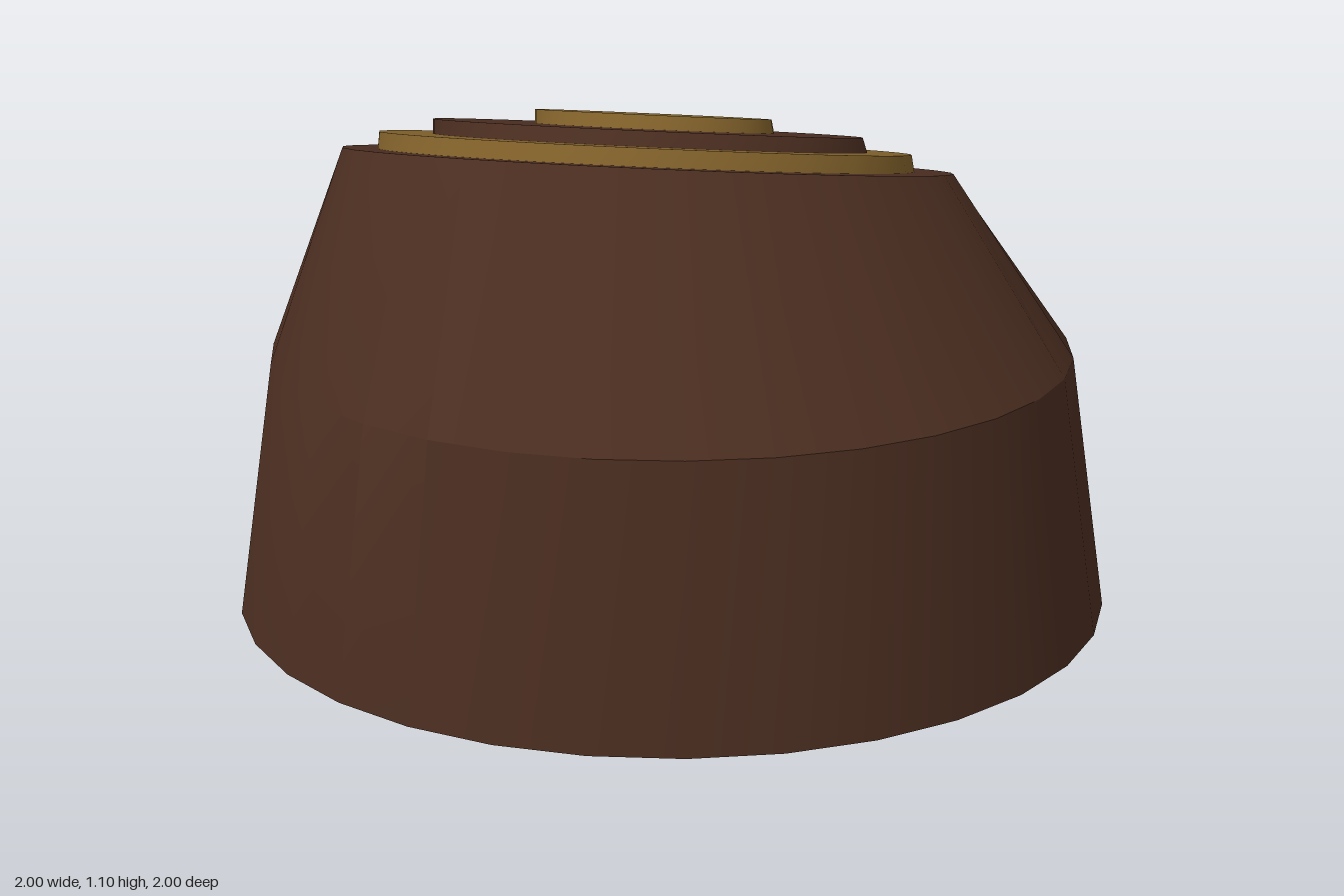
import * as THREE from 'three';
import { toCreasedNormals } from 'three/addons/utils/BufferGeometryUtils.js';

const SIDES = 32;
const PHASE = THREE.MathUtils.degToRad(4);

// Height of the slanted top face at a point.
const slant = (x, z) => 0.95 - 0.12 * (x - 0.1) + 0.11 * (z + 0.27);

// Closed loft through circles {x, z, r, y(x, z)}, listed from bottom to top.
function loft(rings) {
  const pos = [];
  const point = (ring, j) => {
    const a = PHASE + ((j % SIDES) / SIDES) * Math.PI * 2;
    const x = ring.x + Math.sin(a) * ring.r;
    const z = ring.z + Math.cos(a) * ring.r;
    return [x, ring.y(x, z), z];
  };
  const centre = (ring) => [ring.x, ring.y(ring.x, ring.z), ring.z];
  const first = rings[0];
  const last = rings[rings.length - 1];
  for (let j = 0; j < SIDES; j++) {
    for (let i = 0; i < rings.length - 1; i++) {
      const a = point(rings[i], j), b = point(rings[i], j + 1);
      const c = point(rings[i + 1], j + 1), d = point(rings[i + 1], j);
      pos.push(...a, ...b, ...c, ...a, ...c, ...d);
    }
    pos.push(...centre(first), ...point(first, j + 1), ...point(first, j));
    pos.push(...centre(last), ...point(last, j), ...point(last, j + 1));
  }
  const geometry = new THREE.BufferGeometry();
  geometry.setAttribute('position', new THREE.Float32BufferAttribute(pos, 3));
  return toCreasedNormals(geometry, THREE.MathUtils.degToRad(30));
}

export function createModel() {
  const group = new THREE.Group();
  const brown = new THREE.MeshStandardMaterial({ color: 0x4a2d20 });
  const gold = new THREE.MeshStandardMaterial({ color: 0x80602a });

  const add = (name, material, rings) => {
    const mesh = new THREE.Mesh(loft(rings), material);
    mesh.name = name;
    group.add(mesh);
  };
  const flat = (y, r) => ({ x: 0, z: 0, r, y: () => y });
  const tilted = (x, z, r, lift) => ({ x, z, r, y: (px, pz) => slant(px, pz) + lift });

  // Tapered body leaning towards the offset, slanted top
  add('body', brown, [flat(0, 1), flat(0.58, 0.91), tilted(0.1, -0.27, 0.72, 0)]);

  // Stacked discs on the slanted top
  add('outerDisc', gold, [tilted(0.095, -0.27, 0.635, -0.01), tilted(0.105, -0.29, 0.63, 0.04)]);
  add('middleDisc', brown, [tilted(0.11, -0.275, 0.515, 0.035), tilted(0.115, -0.295, 0.51, 0.075)]);
  add('centreDisc', gold, [tilted(0.13, -0.29, 0.285, 0.07), tilted(0.138, -0.31, 0.282, 0.108)]);

  return group;
}
